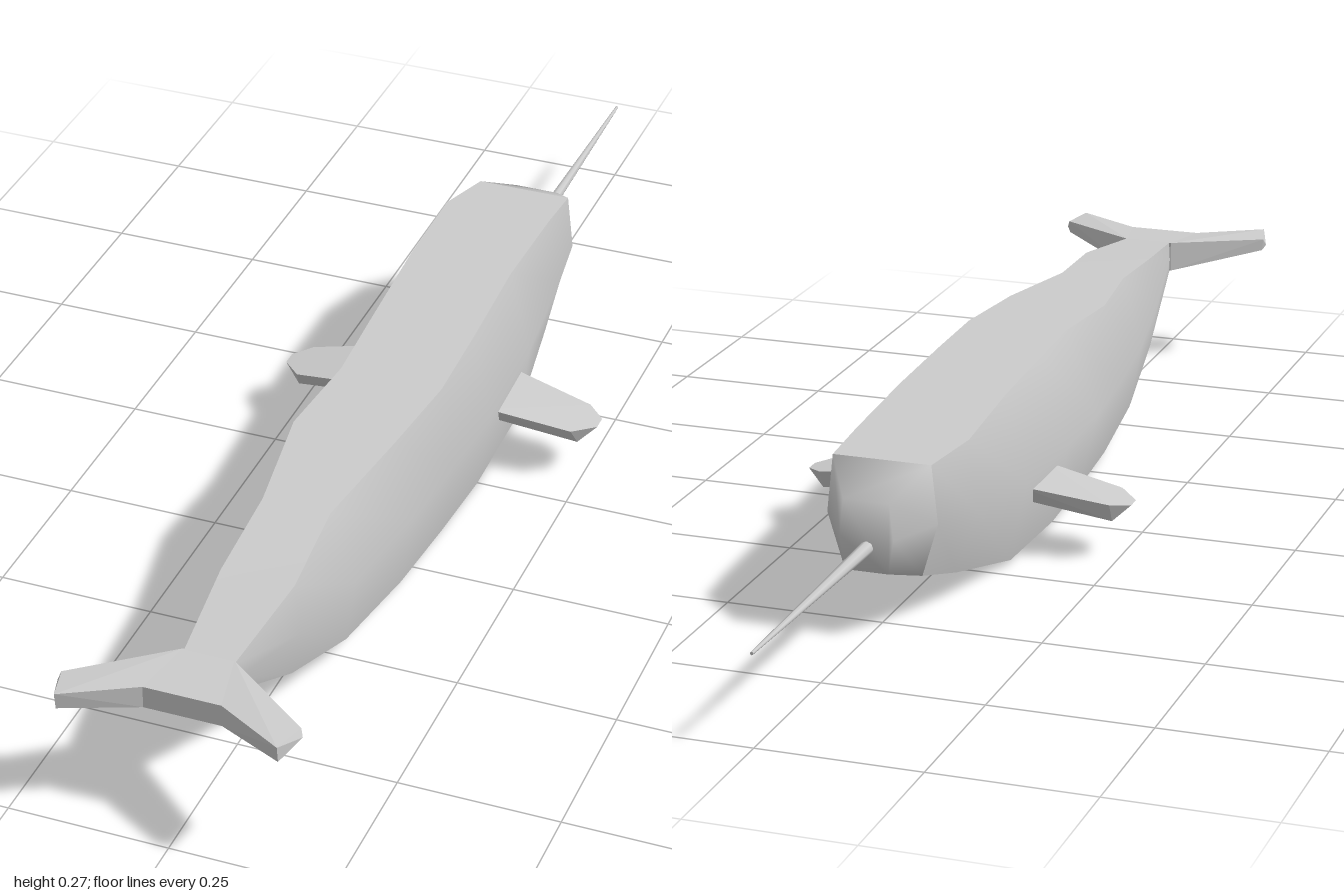
import * as THREE from 'three';
import { toCreasedNormals } from 'three/addons/utils/BufferGeometryUtils.js';
import { ConvexGeometry } from 'three/addons/geometries/ConvexGeometry.js';

const smooth = new THREE.MeshStandardMaterial({ color: 0xcccccc });
const flat = new THREE.MeshStandardMaterial({ color: 0xcccccc, flatShading: true });

// Skin through six-sided rings ordered along +z, optionally closed at each end.
function loft(sections, capStart, capEnd) {
  const pos = [], idx = [], n = 6;
  for (const [z, yb, yt, topR, topL, midR, midL, bottom] of sections) {
    const ym = yb + (yt - yb) * 0.48;
    pos.push(-bottom, yb, z, bottom, yb, z, midL, ym, z, topL, yt, z, topR, yt, z, midR, ym, z);
  }
  for (let i = 0; i < sections.length - 1; i++) {
    for (let j = 0; j < n; j++) {
      const a = i * n + j, b = i * n + (j + 1) % n;
      idx.push(a, b, b + n, a, b + n, a + n);
    }
  }
  const last = (sections.length - 1) * n;
  for (let j = 1; j < n - 1; j++) {
    if (capStart) idx.push(0, j + 1, j);
    if (capEnd) idx.push(last, last + j, last + j + 1);
  }
  const geo = new THREE.BufferGeometry();
  geo.setAttribute('position', new THREE.Float32BufferAttribute(pos, 3));
  geo.setIndex(idx);
  geo.computeVertexNormals();
  return geo;
}

const hull = (points, side = 1) =>
  new ConvexGeometry(points.map(([x, y, z]) => new THREE.Vector3(x * side, y, z)));

export function createModel() {
  const group = new THREE.Group();
  const add = (name, geometry, material) => {
    const mesh = new THREE.Mesh(geometry, material);
    mesh.name = name;
    group.add(mesh);
    return mesh;
  };

  // Body rings: z, bottom y, top y, top right x, top left x, mid right x, mid left x, bottom half width
  const neck = [-0.49, 0.08, 0.255, -0.075, 0.08, -0.085, 0.09, 0.06];
  const bodyRings = [
    neck,
    [-0.39, 0.052, 0.265, -0.098, 0.08, -0.112, 0.102, 0.078],
    [-0.2, 0.007, 0.276, -0.09, 0.082, -0.127, 0.116, 0.098],
    [0, 0.002, 0.275, -0.08, 0.09, -0.127, 0.122, 0.1],
    [0.15, 0.008, 0.274, -0.072, 0.094, -0.126, 0.117, 0.095],
    [0.31, 0.017, 0.272, -0.086, 0.078, -0.114, 0.108, 0.088],
    [0.5, 0.036, 0.262, -0.058, 0.05, -0.092, 0.088, 0.072],
    [0.67, 0.09, 0.25, -0.053, 0.062, -0.068, 0.07, 0.055],
    [0.85, 0.18, 0.23, -0.036, 0.042, -0.037, 0.043, 0.036],
  ];
  add('body', toCreasedNormals(loft(bodyRings, false, true), 0.65), smooth);

  // Blunt, softly shaded head
  const snout = [-0.563, 0.105, 0.215, -0.036, 0.036, -0.042, 0.042, 0.034];
  add('head', loft([snout, neck], true, false), smooth);

  // Long tapering tusk
  const tusk = new THREE.CylinderGeometry(0.0025, 0.011, 0.45, 8);
  tusk.rotateX(-Math.PI / 2);
  add('tusk', tusk, smooth).position.set(0, 0.142, -0.775);

  // Tail centre
  add('tailCentre', hull([-1, 1].flatMap(s => [
    [s * 0.04, 0.231, 0.84], [s * 0.04, 0.18, 0.84],
    [s * 0.06, 0.226, 0.935], [s * 0.06, 0.19, 0.935],
  ])), flat);

  for (const side of [1, -1]) {
    const label = side > 0 ? 'left' : 'right';
    // Swept tail fluke
    add(label + 'Fluke', hull([
      [0.04, 0.231, 0.84], [0.04, 0.18, 0.84],
      [0.06, 0.226, 0.935], [0.06, 0.19, 0.935],
      [0.168, 0.227, 0.995], [0.168, 0.2, 0.992],
      [0.182, 0.224, 0.94], [0.18, 0.204, 0.94], [0.186, 0.213, 0.945],
    ], side), flat);
    // Stubby flipper with a chamfered tip
    add(label + 'Flipper', hull([
      [0.1, 0.118, -0.168], [0.1, 0.118, -0.042],
      [0.1, 0.09, -0.15], [0.1, 0.09, -0.06],
      [0.24, 0.095, -0.145], [0.235, 0.095, -0.06],
      [0.268, 0.09, -0.12], [0.268, 0.09, -0.095],
      [0.24, 0.064, -0.13], [0.24, 0.064, -0.08],
    ], side), flat);
  }
  return group;
}
